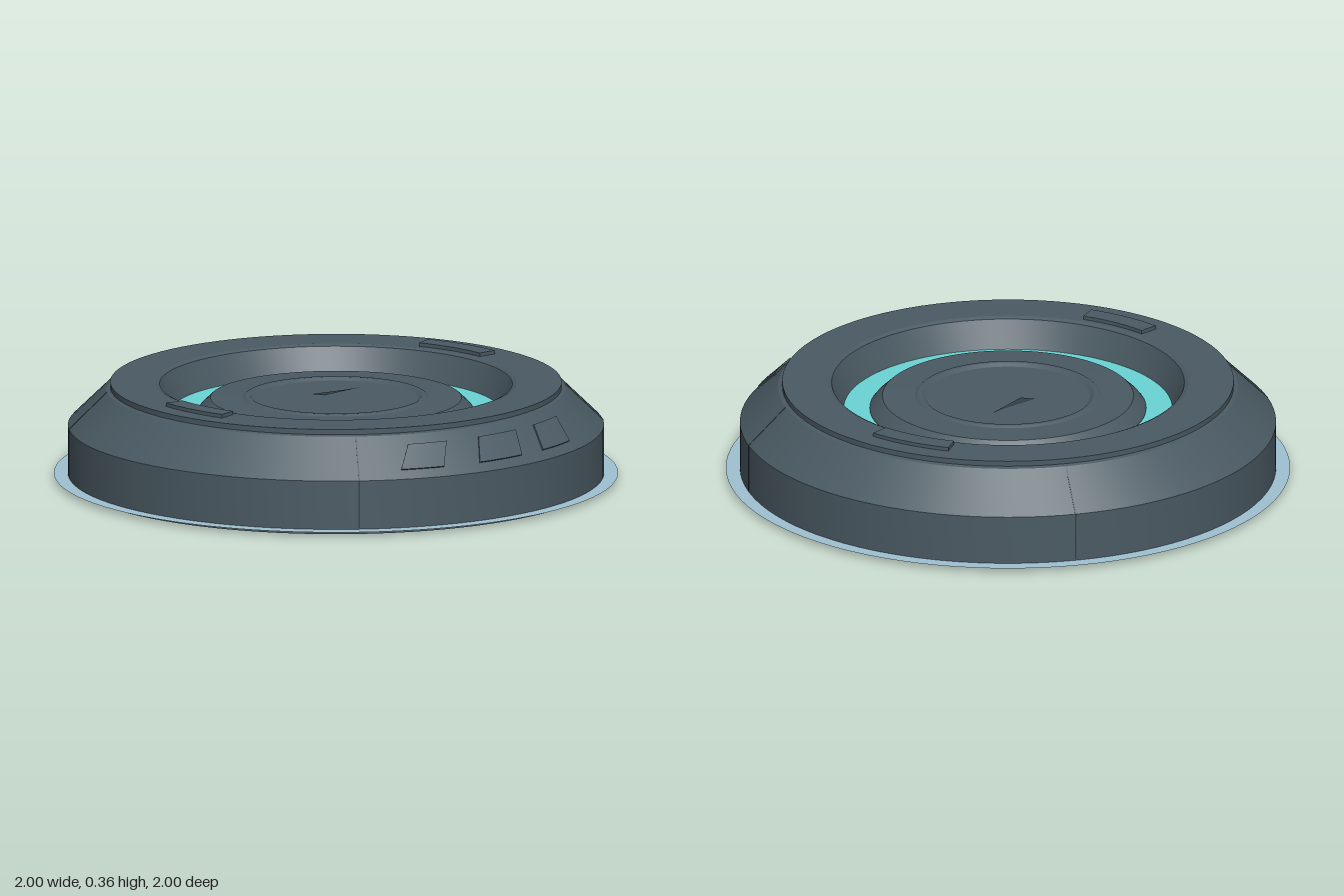
import * as THREE from 'three';
import { toCreasedNormals } from 'three/addons/utils/BufferGeometryUtils.js';

const body = new THREE.MeshStandardMaterial({ color: 0x4a5a63 });
body.name = 'slateBody';
const seamDark = new THREE.MeshStandardMaterial({ color: 0x333f46 });
seamDark.name = 'darkSeam';
const glow = new THREE.MeshStandardMaterial({ color: 0x6ad4d4 });
glow.name = 'turquoise';
const pale = new THREE.MeshStandardMaterial({ color: 0x9fc0d2, side: THREE.DoubleSide });
pale.name = 'paleBlue';

const rad = THREE.MathUtils.degToRad;

function add(group, name, geometry, material) {
  const mesh = new THREE.Mesh(geometry, material);
  mesh.name = name;
  group.add(mesh);
  return mesh;
}

// Turned part from [radius, height] pairs, listed from below outward, up and inward
function turned(points, segments = 96) {
  const profile = points.map(([r, y]) => new THREE.Vector2(r, y));
  return toCreasedNormals(new THREE.LatheGeometry(profile, segments), 0.3);
}

// Raised pad following a cone: angles in degrees from +x towards +z, [radius, height] edges
function conePad(a0, a1, low, high, lift, skew = 0, steps = 8) {
  const slope = new THREE.Vector2(low[1] - high[1], high[0] - low[0]).normalize();
  if (slope.y < 0) slope.negate();
  const pos = [], index = [];
  for (let i = 0; i <= steps; i++) {
    const a = a0 + (a1 - a0) * i / steps;
    // four corners of the cross-section: low base, low top, high top, high base
    for (const [edge, up, s] of [[low, -0.004, 0], [low, lift, 0], [high, lift, skew], [high, -0.004, skew]]) {
      const t = rad(a + s);
      const r = edge[0] + Math.abs(slope.x) * up;
      pos.push(r * Math.cos(t), edge[1] + Math.abs(slope.y) * up, r * Math.sin(t));
    }
  }
  for (let i = 0; i < steps; i++) {
    for (let k = 0; k < 3; k++) {
      const p = i * 4 + k, q = p + 4;
      index.push(p, p + 1, q, q, p + 1, q + 1);
    }
  }
  const e = steps * 4;
  index.push(0, 2, 1, 0, 3, 2, e, e + 1, e + 2, e, e + 2, e + 3);
  const g = new THREE.BufferGeometry();
  g.setAttribute('position', new THREE.Float32BufferAttribute(pos, 3));
  g.setIndex(index);
  g.computeVertexNormals();
  return toCreasedNormals(g, 0.3);
}

export function createModel() {
  const model = new THREE.Group();
  model.name = 'roundPad';

  // Thin ground flange, visible around the rim and through the underside gap
  const flange = add(model, 'groundFlange', new THREE.RingGeometry(0.5, 1, 96), pale);
  flange.rotation.x = -Math.PI / 2;
  flange.position.y = 0.025;

  // Outer housing with bevelled shoulder and sloped inner well
  add(model, 'outerHousing', turned([
    [0.69, 0.03], [0.69, 0.008], [0.95, 0.008], [0.95, 0.2], [0.815, 0.332],
    [0.8, 0.336], [0.8, 0.355], [0.64, 0.355], [0.625, 0.348], [0.58, 0.245],
  ]), body);

  // Light ring in the well
  const light = add(model, 'lightRing', new THREE.RingGeometry(0.48, 0.585, 96), glow);
  light.rotation.x = -Math.PI / 2;
  light.position.y = 0.25;

  // Central hub with a shallow step around the middle
  add(model, 'hub', turned([
    [0.49, 0.24], [0.49, 0.252], [0.48, 0.265], [0.445, 0.298], [0.33, 0.3],
    [0.32, 0.306], [0.305, 0.306], [0.29, 0.296], [0, 0.296],
  ]), body);
  add(model, 'hubUnderside', turned([[0, 0.012], [0.56, 0.012], [0.56, 0.024]]), body);

  // Slanted notch in the hub centre
  const notchShape = new THREE.Shape([
    new THREE.Vector2(-0.1, 0.01), new THREE.Vector2(-0.05, 0.01),
    new THREE.Vector2(0.01, 0.19), new THREE.Vector2(-0.02, 0.13),
  ]);
  const notch = add(model, 'hubNotch', new THREE.ShapeGeometry(notchShape), seamDark);
  notch.rotation.x = -Math.PI / 2;
  notch.position.y = 0.299;

  // Raised arc pads on the top deck, front and back
  for (const [name, a0, a1] of [['frontDeckPad', 99, 121], ['backDeckPad', -88, -64]]) {
    add(model, name, conePad(a0, a1, [0.73, 0.355], [0.66, 0.355], 0.013), body);
  }

  // Slanted panels on the left shoulder
  for (const [a0, a1] of [[41, 51], [20, 32], [2, 13]]) {
    add(model, 'shoulderPanel', conePad(a0, a1, [0.922, 0.228], [0.847, 0.301], 0.005, -3), body);
  }

  // Four panel seams running up the wall and over the shoulder
  for (let i = 0; i < 4; i++) {
    const a = 60.5 + i * 90;
    const seam = new THREE.Group();
    seam.name = 'panelSeam';
    add(seam, 'wallSeam', conePad(a - 0.15, a + 0.15, [0.95, 0.03], [0.95, 0.2], 0.001, 0, 1), seamDark);
    add(seam, 'shoulderSeam', conePad(a - 0.15, a + 0.15, [0.95, 0.2], [0.815, 0.332], 0.001, 0, 1), seamDark);
    model.add(seam);
  }
  return model;
}
